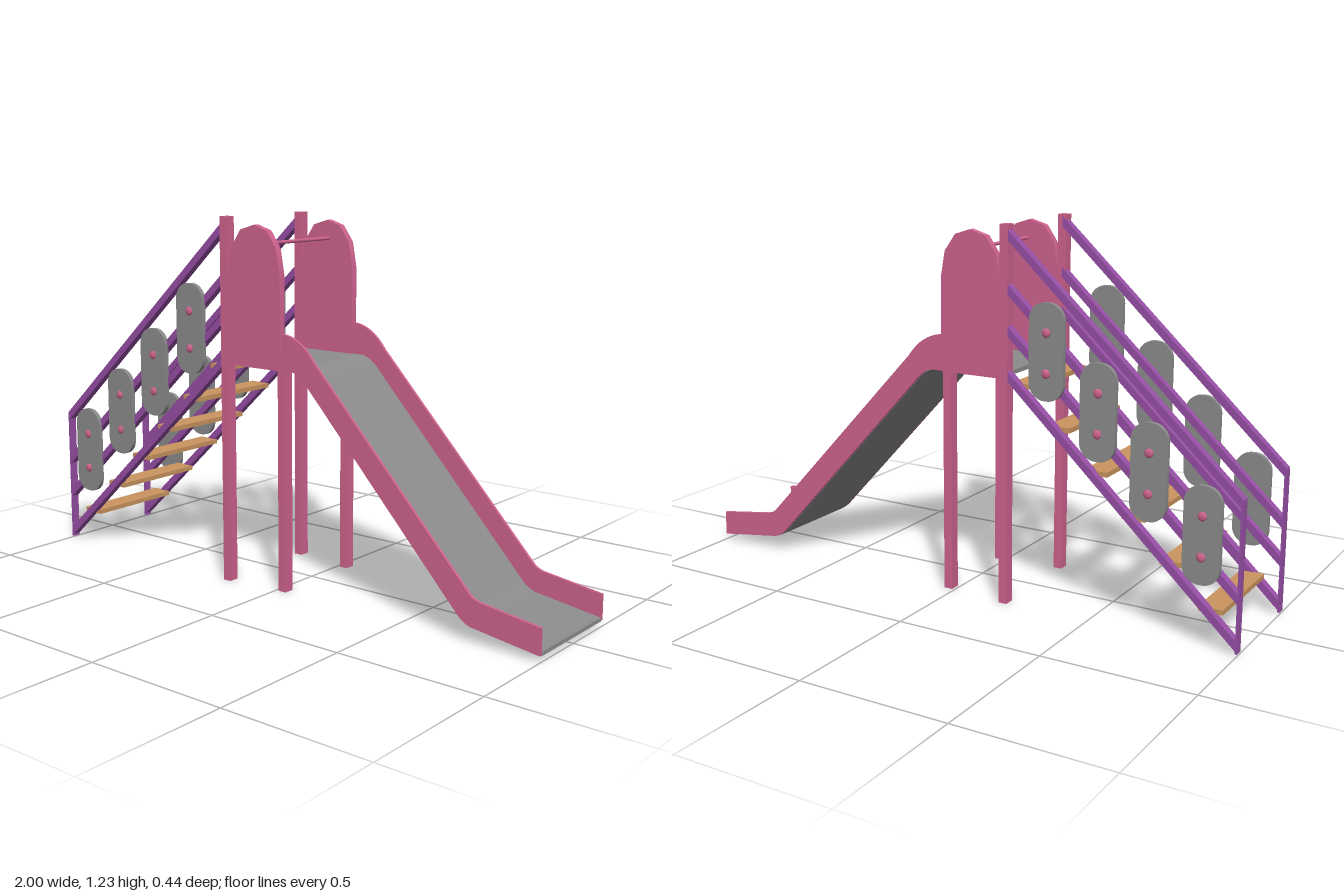
import * as THREE from 'three';
import { toCreasedNormals } from 'three/addons/utils/BufferGeometryUtils.js';

const material = (name, color) => {
  const m = new THREE.MeshStandardMaterial({ color });
  m.name = name;
  return m;
};

export function createModel() {
  const pink = material('pink paint', 0xd0648f);
  const purple = material('purple paint', 0x984fa6);
  const grey = material('grey plastic', 0x8c8c8c);
  const wood = material('wood', 0xcb9560);

  const model = new THREE.Group();
  model.name = 'playgroundSlide';

  const add = (name, geometry, mat, x = 0, y = 0, z = 0, parent = model) => {
    const mesh = new THREE.Mesh(geometry, mat);
    mesh.name = name;
    mesh.position.set(x, y, z);
    parent.add(mesh);
    return mesh;
  };
  // Box given by its limits on each axis
  const box = (name, mat, x0, x1, y0, y1, z0, z1) =>
    add(name, new THREE.BoxGeometry(x1 - x0, y1 - y0, z1 - z0), mat,
      (x0 + x1) / 2, (y0 + y1) / 2, (z0 + z1) / 2);
  // Side profile extruded from z0 to z1
  const slab = (name, mat, shape, z0, z1, curveSegments = 8) => {
    const g = new THREE.ExtrudeGeometry(shape, { depth: z1 - z0, bevelEnabled: false, curveSegments });
    return add(name, toCreasedNormals(g, 0.5), mat, 0, 0, z0);
  };
  const polygon = (points) => new THREE.Shape(points.map(([x, y]) => new THREE.Vector2(x, y)));

  const dz = 0.006; // the tower sits slightly towards the front

  // Arched tower panel outline
  const arch = polygon([[-0.2, 0.745], [0.037, 0.745], [0.037, 1.05], [0.022, 1.135], [-0.017, 1.19],
    [-0.07, 1.207], [-0.128, 1.19], [-0.166, 1.135], [-0.18, 1.05], [-0.2, 1.05]]);

  // Slide side wall outline
  const wall = new THREE.Shape();
  wall.moveTo(0.035, 0.745);
  wall.lineTo(0.08, 0.745);
  wall.quadraticCurveTo(0.115, 0.738, 0.145, 0.7);
  wall.lineTo(0.71, 0.09);
  wall.quadraticCurveTo(0.738, 0.057, 0.77, 0.052);
  wall.lineTo(1, 0.02);
  wall.lineTo(1, 0.105);
  wall.lineTo(0.8, 0.134);
  wall.quadraticCurveTo(0.776, 0.138, 0.76, 0.152);
  wall.lineTo(0.17, 0.782);
  wall.quadraticCurveTo(0.115, 0.86, 0.035, 0.865);

  // Platform and slide bed as one thin bent sheet
  const bed = new THREE.Shape();
  bed.moveTo(-0.18, 0.743);
  bed.lineTo(0.08, 0.743);
  bed.quadraticCurveTo(0.115, 0.736, 0.145, 0.698);
  bed.lineTo(0.71, 0.088);
  bed.quadraticCurveTo(0.738, 0.055, 0.77, 0.05);
  bed.lineTo(1, 0.018);
  bed.lineTo(1, 0.03);
  bed.lineTo(0.775, 0.062);
  bed.quadraticCurveTo(0.745, 0.067, 0.72, 0.094);
  bed.lineTo(0.155, 0.704);
  bed.quadraticCurveTo(0.12, 0.748, 0.08, 0.757);
  bed.lineTo(-0.18, 0.757);
  slab('slideBed', grey, bed, -0.183 + dz, 0.183 + dz);

  // Crossbar between the arched panels
  add('crossbar', new THREE.CylinderGeometry(0.006, 0.006, 0.37, 10), pink, -0.065, 1.145, dz)
    .rotation.x = Math.PI / 2;

  // Rounded plate outline, centred on the origin
  const w = 0.06, h = 0.153, r = 0.055;
  const plate = new THREE.Shape();
  plate.absarc(w - r, h - r, r, 0, Math.PI / 2);
  plate.absarc(r - w, h - r, r, Math.PI / 2, Math.PI);
  plate.absarc(r - w, r - h, r, Math.PI, Math.PI * 1.5);
  plate.absarc(w - r, r - h, r, Math.PI * 1.5, Math.PI * 2);
  const plateGeometry = toCreasedNormals(new THREE.ExtrudeGeometry(plate,
    { depth: 0.016, bevelEnabled: false, curveSegments: 5 }), 0.3);
  const boltGeometry = new THREE.SphereGeometry(0.015, 10, 6);

  const railHeights = [[0.465, 1.207], [0.297, 1.04], [0.17, 0.91], [0.022, 0.767]];
  const plates = [[-0.88, 0.357], [-0.705, 0.523], [-0.533, 0.683], [-0.355, 0.85]];

  for (const s of [1, -1]) {
    const side = s > 0 ? 'left' : 'right';
    const front = s > 0;
    // z limits on this side, ordered low to high
    const span = (inner, outer, shift = dz) =>
      front ? [inner + shift, outer + shift] : [-outer + shift, -inner + shift];

    // Tower
    box('tallPost', pink, -0.212, -0.182, 0, 1.23, ...span(0.172, 0.208));
    box('shortLeg', pink, 0.01, 0.04, 0, 0.745, ...span(0.148, 0.184, 0.003));
    slab('archedPanel', pink, arch, ...span(0.177, 0.201));
    slab('slideWall', pink, wall, ...span(0.183, 0.193));

    // Sloping stair rails with upright ends
    const railZ = span(0.174, 0.202, 0.001);
    for (const [a, b] of railHeights) {
      const t = 0.016;
      slab('stairRail', purple, polygon([[-1, a - t], [-0.2, b - t], [-0.2, b + t], [-1, a + t]]), ...railZ);
    }
    box('stairEndPost', purple, -1, -0.992, 0.005, 0.478, ...railZ);

    // Rounded plates with two bolts each
    for (const [x, y] of plates) {
      const group = new THREE.Group();
      group.name = side + 'RailPlate';
      group.position.set(x, y, s * 0.199);
      if (!front) group.rotation.y = Math.PI;
      model.add(group);
      add('plate', plateGeometry, grey, 0, 0, 0, group);
      for (const by of [-0.067, 0.06]) {
        const bolt = add('bolt', boltGeometry, pink, 0, by, 0.016, group);
        bolt.scale.z = 0.45;
      }
    }
  }

  // Stair treads
  for (let i = 0; i < 6; i++) {
    const x = -0.903 + i * 0.13, y = 0.116 + i * 0.122;
    box('stairTread', wood, x - 0.039, x + 0.039, y - 0.008, y + 0.008, -0.178, 0.18);
  }

  return model;
}
